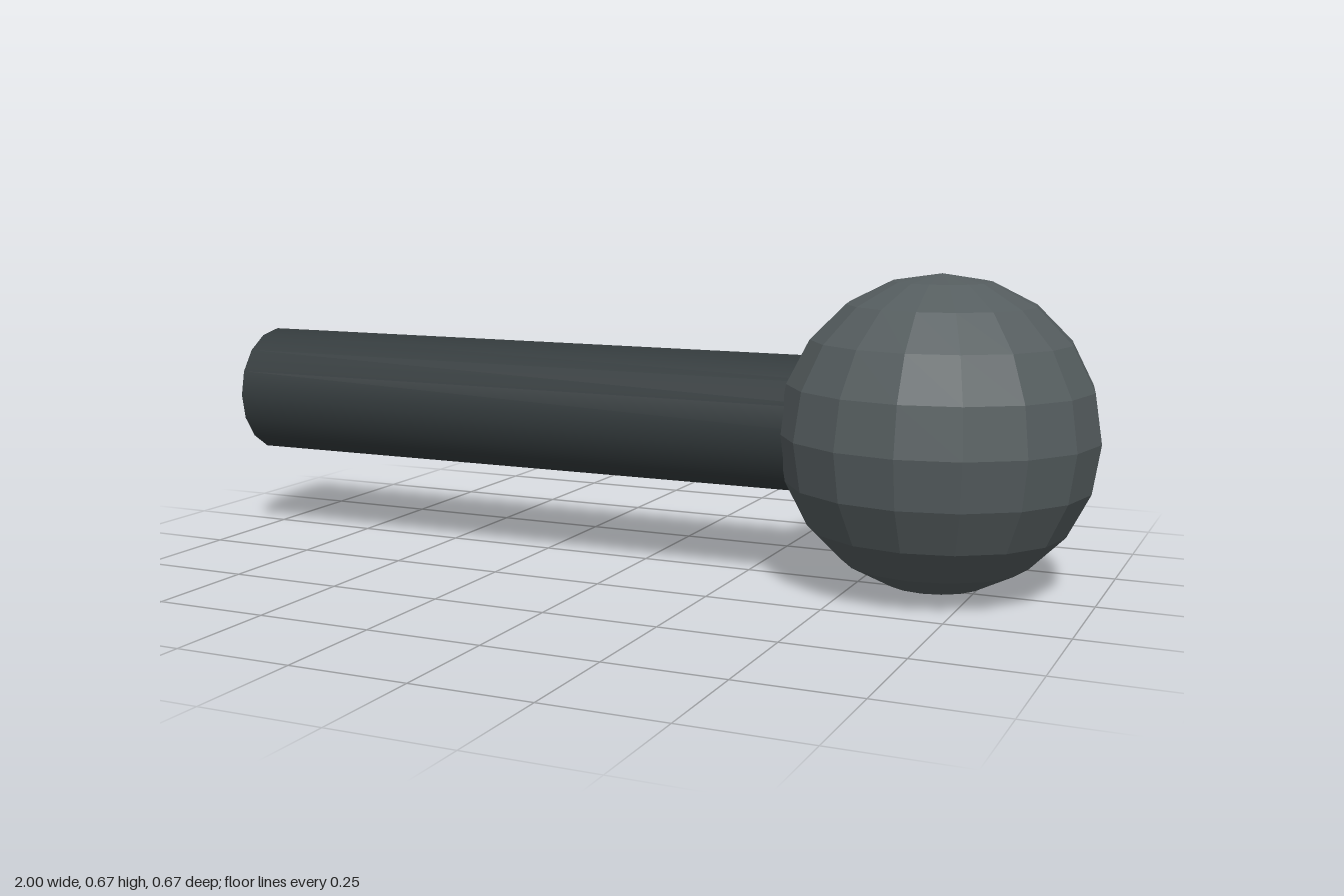
import * as THREE from 'three';

export function createModel() {
  const group = new THREE.Group();
  const radius = 0.333;
  const centreY = 0.335;
  const ballX = 1 - radius;

  // Faceted ball at the end of the rod
  const ball = new THREE.Mesh(
    new THREE.SphereGeometry(radius, 16, 10),
    new THREE.MeshStandardMaterial({ color: 0x555d5f, flatShading: true })
  );
  ball.name = 'ball';
  ball.position.set(ballX, centreY, 0);

  // Smooth round rod, running into the ball
  const length = ballX + 1;
  const rod = new THREE.Mesh(
    new THREE.CylinderGeometry(0.148, 0.148, length, 16),
    new THREE.MeshStandardMaterial({ color: 0x343b3d })
  );
  rod.name = 'rod';
  rod.rotation.z = Math.PI / 2;
  rod.position.set(-1 + length / 2, centreY + 0.002, 0);

  group.add(ball, rod);
  return group;
}
